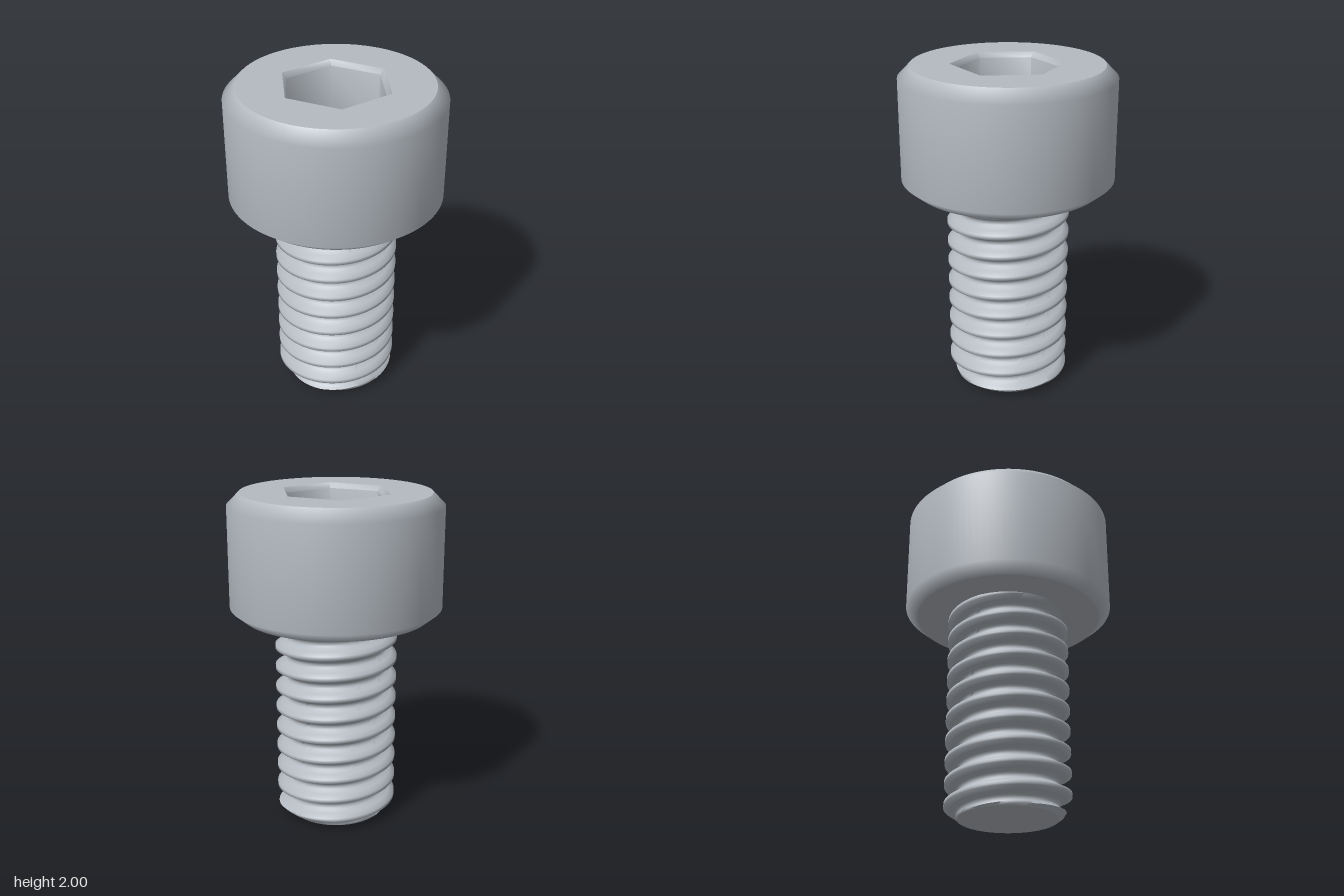
import * as THREE from 'three';
import { toCreasedNormals } from 'three/addons/utils/BufferGeometryUtils.js';

const SEGMENTS = 96;
const HEAD_BOTTOM = 1.268, HEAD_TOP = 2, HEAD_R = 0.632, RIM_R = 0.56;
const TIP_R = 0.29, PITCH = 0.129, FIRST_CREST = 0.15;

// Thread profile: distance from the crest (up to half a pitch) and radius
const PROFILE = [[0, 0.367], [0.012, 0.367], [0.03, 0.332], [0.045, 0.304], [0.053, 0.296], [PITCH / 2, 0.294]];

const crestHeight = (phi) => FIRST_CREST + PITCH * phi / (2 * Math.PI);

function threadRadius(phi, y) {
  const turns = (y - crestHeight(phi)) / PITCH;
  const d = Math.abs(turns - Math.round(turns)) * PITCH;
  let r = PROFILE[PROFILE.length - 1][1];
  for (let i = 1; i < PROFILE.length; i++) {
    const [d0, r0] = PROFILE[i - 1], [d1, r1] = PROFILE[i];
    if (d <= d1) { r = r0 + (r1 - r0) * (d - d0) / (d1 - d0); break; }
  }
  return Math.min(r, TIP_R + 1.3 * y); // chamfered tip
}

// Helical rows follow the crest and root lines, cut flat at the tip and under the head
function threadGeometry() {
  const offsets = [];
  for (let i = PROFILE.length - 1; i > 0; i--) offsets.push(-PROFILE[i][0]);
  for (let i = 0; i < PROFILE.length - 1; i++) offsets.push(PROFILE[i][0]);
  const rows = [];
  for (let k = -3; k <= 10; k++) for (const o of offsets) rows.push(k * PITCH + o);

  const point = (i, j) => {
    const phi = i / SEGMENTS * 2 * Math.PI;
    const y = THREE.MathUtils.clamp(crestHeight(phi) + rows[j], 0, HEAD_BOTTOM);
    const r = threadRadius(phi, y);
    return [r * Math.sin(phi), y, r * Math.cos(phi)];
  };
  const positions = [];
  const addTriangle = (a, b, c) => {
    if (a[1] === b[1] && b[1] === c[1]) return; // row lies beyond an end
    positions.push(...a, ...b, ...c);
  };
  for (let j = 0; j < rows.length - 1; j++) {
    for (let i = 0; i < SEGMENTS; i++) {
      const a = point(i, j), b = point(i + 1, j), c = point(i + 1, j + 1), d = point(i, j + 1);
      addTriangle(a, b, c);
      addTriangle(a, c, d);
    }
  }
  const geometry = new THREE.BufferGeometry();
  geometry.setAttribute('position', new THREE.Float32BufferAttribute(positions, 3));
  return toCreasedNormals(geometry, Math.PI * 0.42);
}

const profilePoints = (list) => list.map(([r, y]) => new THREE.Vector2(r, y));

export function createModel() {
  const group = new THREE.Group();
  const steel = new THREE.MeshStandardMaterial({ color: 0xb4bac1 });
  steel.name = 'steel grey';

  const add = (name, geometry, y = 0) => {
    const mesh = new THREE.Mesh(geometry, steel);
    mesh.name = name;
    mesh.position.y = y;
    group.add(mesh);
  };

  // Head wall with softly shaded chamfers
  add('headWall', new THREE.LatheGeometry(profilePoints([
    [RIM_R, HEAD_BOTTOM], [HEAD_R, 1.327], [HEAD_R, 1.927], [RIM_R, HEAD_TOP],
  ]), SEGMENTS));

  // Flat top with a hexagonal opening
  const socketR = 0.335;
  const topShape = new THREE.Shape().absarc(0, 0, RIM_R, 0, Math.PI * 2);
  const hexagon = [];
  for (let i = 0; i < 6; i++) {
    const a = i * Math.PI / 3;
    hexagon.push(new THREE.Vector2(socketR * Math.cos(a), socketR * Math.sin(a)));
  }
  topShape.holes.push(new THREE.Path(hexagon));
  add('headTop', new THREE.ShapeGeometry(topShape, SEGMENTS).rotateX(-Math.PI / 2), HEAD_TOP);

  // Six-sided socket with softened corners: chamfer, walls and floor
  const socket = new THREE.LatheGeometry(profilePoints([
    [socketR, HEAD_TOP], [0.307, 1.97], [0.307, 1.63], [0, 1.63],
  ]), 6, Math.PI / 2);
  add('hexSocket', toCreasedNormals(socket, Math.PI * 0.36));

  // Flat underside of the head
  add('headUnderside', new THREE.RingGeometry(0.28, RIM_R, SEGMENTS).rotateX(Math.PI / 2), HEAD_BOTTOM);

  // Threaded shank and its flat tip
  add('threadedShank', threadGeometry());
  add('shankTip', new THREE.CircleGeometry(TIP_R, SEGMENTS).rotateX(Math.PI / 2));

  return group;
}
